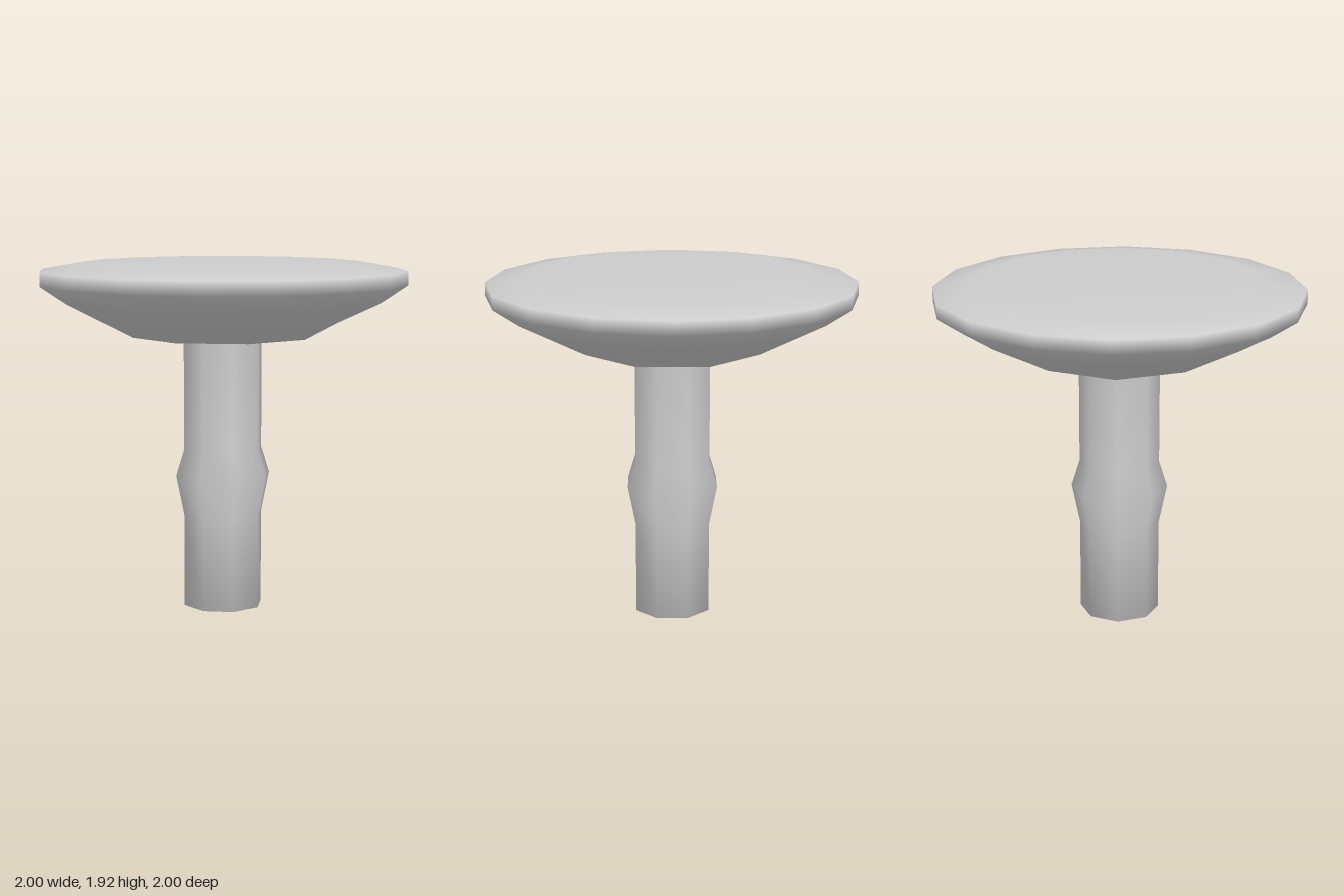
import * as THREE from 'three';

const material = new THREE.MeshStandardMaterial({ color: 0xcccccc });

// Smooth lathe from a bottom-to-top profile of [radius, height]
function lathe(name, profile, sides) {
  const points = profile.map(([r, y]) => new THREE.Vector2(r, y));
  const mesh = new THREE.Mesh(new THREE.LatheGeometry(points, sides), material);
  mesh.name = name;
  return mesh;
}

export function createModel() {
  const group = new THREE.Group();
  group.name = 'mushroom';

  // Eight-sided stem with a shallow pointed foot and a bulge halfway up
  group.add(lathe('stem', [
    [0, 0], [0.22, 0.03], [0.22, 0.54], [0.265, 0.76], [0.22, 0.905], [0.22, 1.5],
  ], 8));

  // Broad sixteen-sided cap with a nearly flat top
  const profile = [
    [0.22, 1.5], [0.5, 1.525], [0.86, 1.71], [1, 1.805],
    [1, 1.88], [0.77, 1.921], [0, 1.925],
  ];
  const cap = lathe('cap', profile, 16);

  // The inner underside rings are octagons: pull every second column onto their sides
  const pos = cap.geometry.attributes.position;
  for (let i = 0; i < pos.count; i++) {
    const column = Math.floor(i / profile.length);
    const ring = i % profile.length;
    if (ring < 2 && column % 2 === 1) {
      const k = Math.cos(Math.PI / 8);
      pos.setX(i, pos.getX(i) * k);
      pos.setZ(i, pos.getZ(i) * k);
    }
  }
  group.add(cap);

  return group;
}
